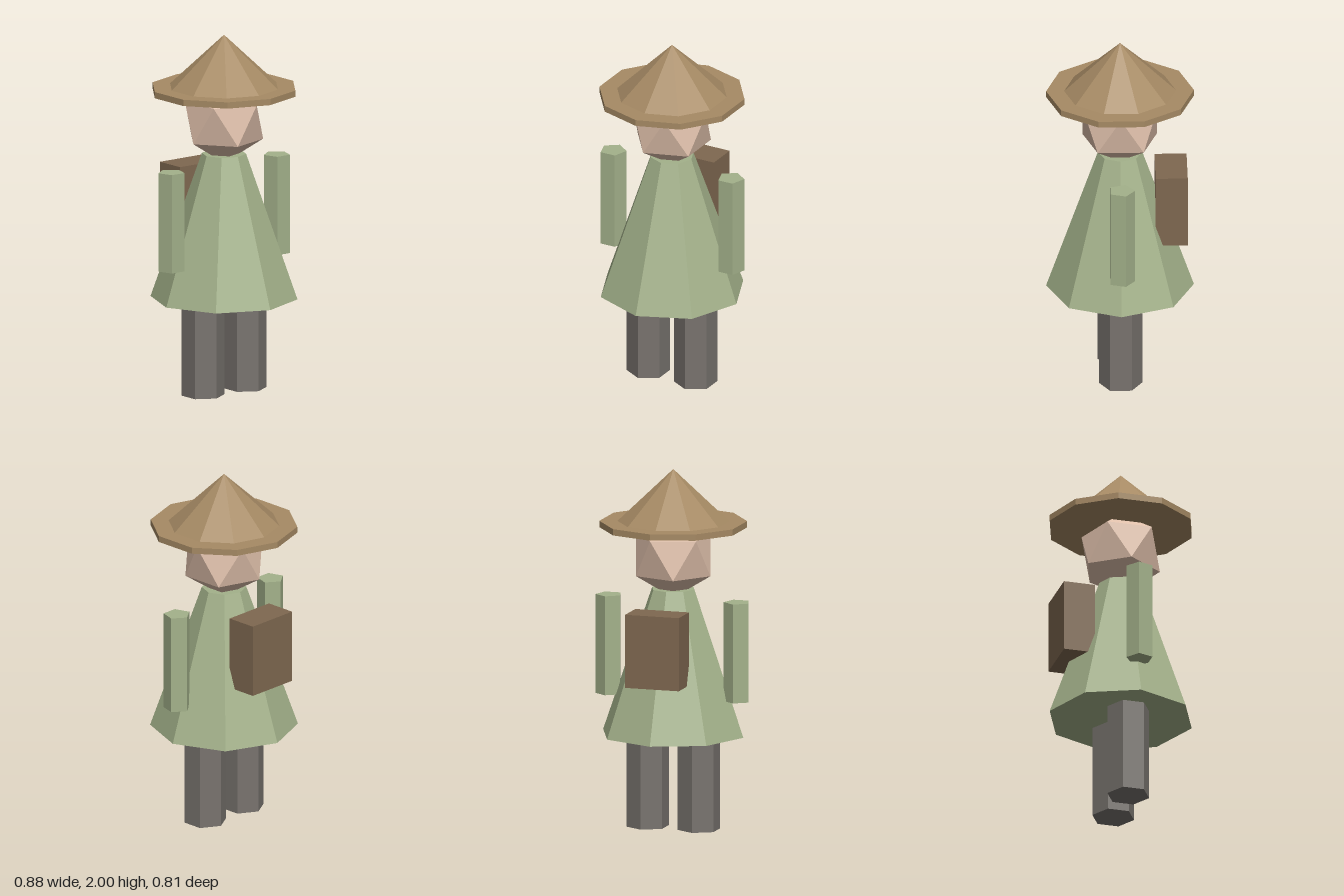
import * as THREE from 'three';
import { ConvexGeometry } from 'three/addons/geometries/ConvexGeometry.js';

const mat = (color) => new THREE.MeshStandardMaterial({ color, flatShading: true });

export function createModel() {
  const model = new THREE.Group();
  const straw = mat(0xa68a64), cloth = mat(0xa3b18a), skin = mat(0xddbea9);
  const leather = mat(0x7f6850), trousers = mat(0x78736e);

  const add = (name, geometry, material, x = 0, y = 0, z = 0) => {
    const mesh = new THREE.Mesh(geometry, material);
    mesh.name = name;
    mesh.position.set(x, y, z);
    model.add(mesh);
    return mesh;
  };
  // Faceted column or cone between two heights
  const column = (name, rTop, rBottom, y0, y1, sides, material, x = 0) =>
    add(name, new THREE.CylinderGeometry(rTop, rBottom, y1 - y0, sides), material, x, (y0 + y1) / 2);

  // Robe
  column('robe', 0.122, 0.405, 0.525, 1.335, 8, cloth);

  // Arms and legs, mirrored
  for (const [side, s] of [['left', 1], ['right', -1]]) {
    column(side + 'Leg', 0.119, 0.119, 0, 0.56, 6, trousers, s * 0.148);
    column(side + 'Arm', 0.075, 0.075, 0.728, 1.28, 5, cloth, s * 0.37).rotation.y = Math.PI;
  }

  // Head: icosahedron standing on a point, with two staggered rings of five
  const R = 0.24, ringY = R / Math.sqrt(5), ringR = 2 * ringY;
  const points = [new THREE.Vector3(0, R, 0), new THREE.Vector3(0, -R, 0)];
  for (let i = 0; i < 5; i++) {
    const a = (i * 2 * Math.PI) / 5;
    const x = ringR * Math.cos(a), z = ringR * Math.sin(a);
    points.push(new THREE.Vector3(x, ringY, z), new THREE.Vector3(-x, -ringY, -z));
  }
  add('head', new ConvexGeometry(points), skin, 0, 1.522, 0);

  // Straw hat
  column('hatBrim', 0.405, 0.405, 1.675, 1.71, 10, straw);
  add('hatCone', new THREE.ConeGeometry(0.306, 0.29, 10), straw, 0, 1.855, 0);

  // Backpack
  add('backpack', new THREE.BoxGeometry(0.31, 0.408, 0.176), leather, 0, 1.041, -0.28);

  return model;
}
